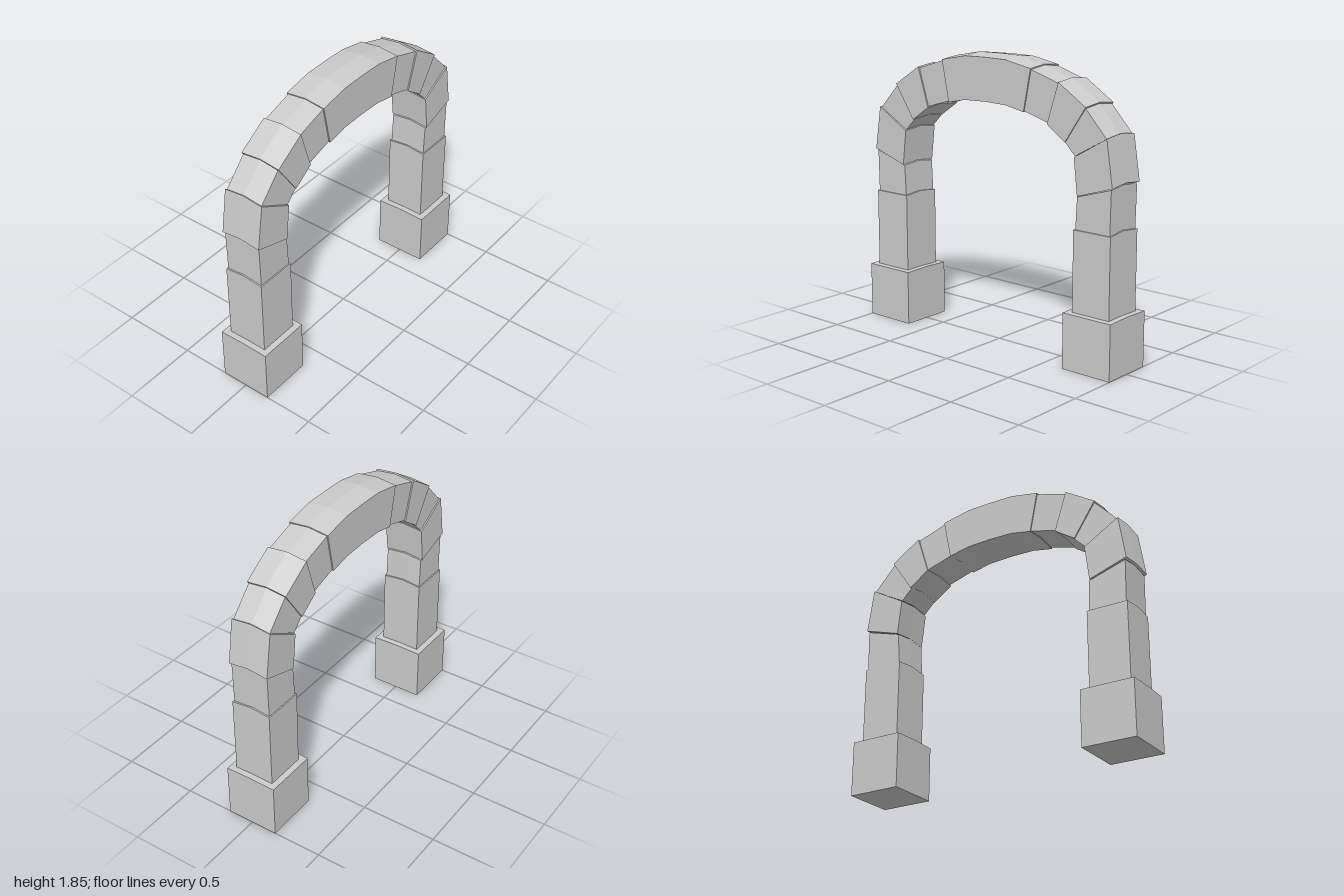
import * as THREE from 'three';

const material = new THREE.MeshStandardMaterial({ color: 0xcccccc, flatShading: true });

// Stone with the given front outline; the middle (z = 0) is lifted into a soft ridge
function stone(name, outline, half, rise, riseFrom = 0) {
  const shape = new THREE.Shape(outline.map(([x, y]) => new THREE.Vector2(x, y)));
  const geometry = new THREE.ExtrudeGeometry(shape, { depth: half * 2, steps: 2, bevelEnabled: false });
  geometry.translate(0, 0, -half);
  const p = geometry.attributes.position;
  for (let i = 0; i < p.count; i++) {
    if (Math.abs(p.getZ(i)) < 1e-4 && p.getY(i) > riseFrom) p.setY(i, p.getY(i) + rise);
  }
  geometry.computeVertexNormals();
  const mesh = new THREE.Mesh(geometry, material);
  mesh.name = name;
  return mesh;
}

export function createModel() {
  const group = new THREE.Group();
  group.name = 'stoneArch';
  const WIDE = 0.136, NARROW = 0.128, RISE = 0.015;

  // Stones of one leg, from the ground up to the keystone
  const leg = [
    ['base', [[0.65, 0], [1, 0], [1, 0.355], [0.65, 0.355]], 0.175, 0.005, 0.1],
    ['column', [[0.69, 0.35], [0.96, 0.35], [0.96, 0.865], [0.69, 0.865]], 0.135, RISE, 0.5],
    ['springerStone', [[0.7, 0.865], [0.95, 0.865], [0.955, 1.14], [0.71, 1.065]], NARROW, RISE],
    ['lowerArchStone', [[0.715, 1.07], [0.967, 1.15], [0.922, 1.435], [0.688, 1.3]], WIDE, RISE],
    ['haunchStone', [[0.69, 1.305], [0.914, 1.432], [0.764, 1.592], [0.613, 1.382]], NARROW, RISE],
    ['upperArchStone', [[0.62, 1.38], [0.768, 1.6], [0.567, 1.728], [0.485, 1.472]], WIDE, RISE],
    ['shoulderStone', [[0.49, 1.478], [0.562, 1.72], [0.352, 1.785], [0.302, 1.532]], NARROW, RISE],
  ];
  for (const [side, s] of [['left', 1], ['right', -1]]) {
    for (const [name, outline, half, rise, from] of leg) {
      const label = side + name[0].toUpperCase() + name.slice(1);
      group.add(stone(label, outline.map(([x, y]) => [x * s, y]), half, rise, from));
    }
  }

  // Long curved keystone across the top
  group.add(stone('keystone', [
    [-0.305, 1.525], [-0.165, 1.553], [0, 1.558], [0.165, 1.553], [0.305, 1.525],
    [0.358, 1.79], [0.165, 1.827], [0, 1.83], [-0.165, 1.827], [-0.358, 1.79],
  ], WIDE, RISE));

  return group;
}
